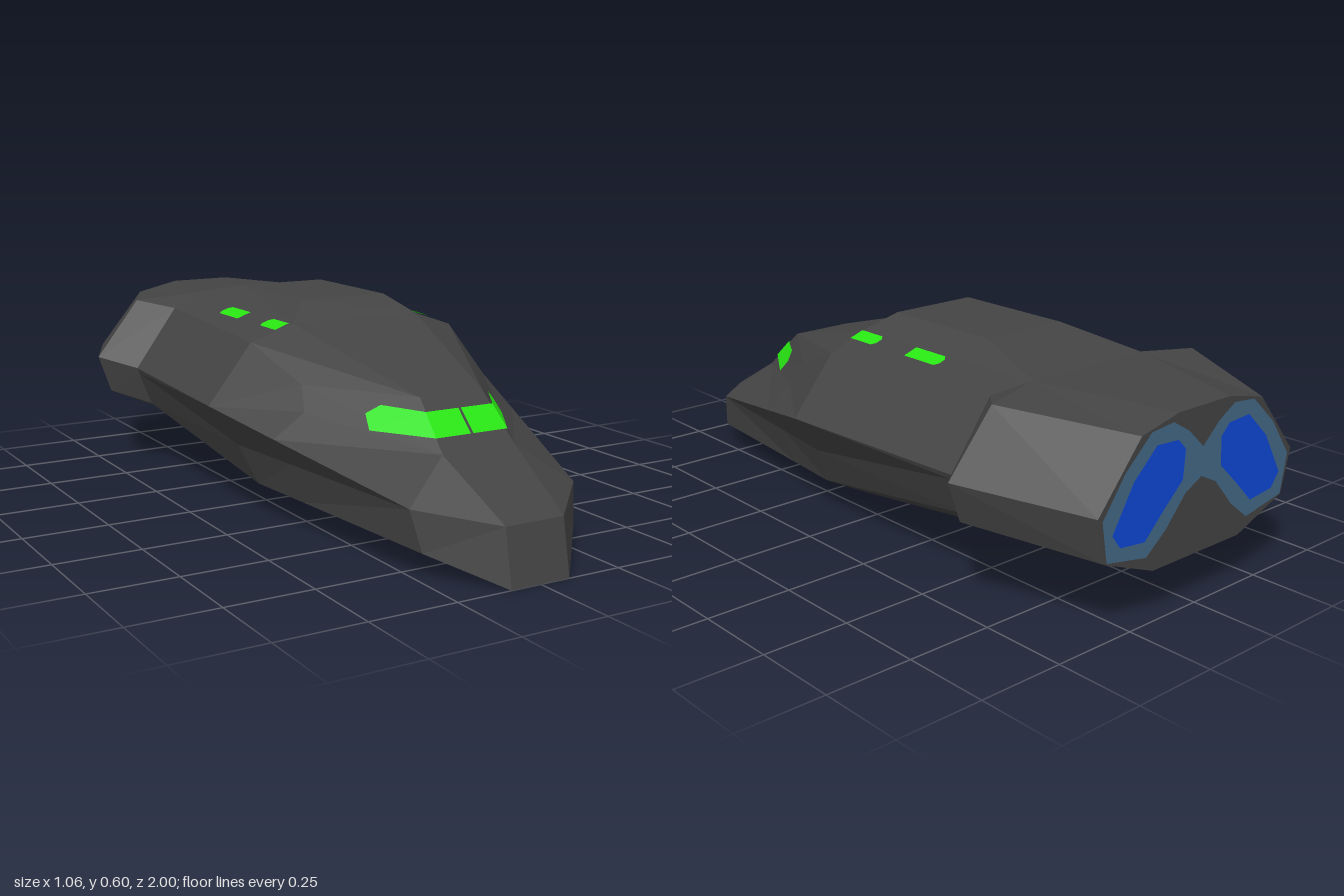
import * as THREE from 'three';

const material = (name, color, side = THREE.FrontSide) => {
  const m = new THREE.MeshStandardMaterial({ color, side, flatShading: true });
  m.name = name;
  return m;
};

// Triangle soup from a list of points, without zero-area triangles
function facets(triangles) {
  const pos = [];
  const t = new THREE.Triangle();
  for (const [a, b, c] of triangles) {
    t.set(new THREE.Vector3(...a), new THREE.Vector3(...b), new THREE.Vector3(...c));
    if (t.getArea() > 1e-7) pos.push(...a, ...b, ...c);
  }
  const g = new THREE.BufferGeometry();
  g.setAttribute('position', new THREE.Float32BufferAttribute(pos, 3));
  g.computeVertexNormals();
  return g;
}

// Skin closed rings in order and cap both ends
function loft(rings) {
  const tris = [];
  const n = rings[0].length;
  for (let i = 0; i < rings.length - 1; i++) {
    for (let j = 0; j < n; j++) {
      const k = (j + 1) % n;
      const [a, b, c, d] = [rings[i][j], rings[i][k], rings[i + 1][k], rings[i + 1][j]];
      // mirror the diagonal on the other half
      if (j < n / 2) tris.push([a, b, c], [a, c, d]);
      else tris.push([a, b, d], [b, c, d]);
    }
  }
  const first = rings[0], last = rings[rings.length - 1];
  for (let j = 1; j < n - 1; j++) {
    tris.push([first[0], first[j + 1], first[j]], [last[0], last[j], last[j + 1]]);
  }
  return facets(tris);
}

const flip = ([x, y, z]) => [-x, y, z];
const fullRing = half => [...half, ...half.map(flip).reverse()];

// Flat plate from a convex 3D outline
const plate = pts => facets(pts.slice(2).map((p, i) => [pts[0], pts[i + 1], p]));

export function createModel() {
  const group = new THREE.Group();
  const hullMat = material('dark hull', 0x444444);
  const lightMat = material('green light', 0x28e612, THREE.DoubleSide);
  const glowMat = material('engine blue', 0x0d48d8, THREE.DoubleSide);
  const rimMat = material('engine rim', 0x446a88, THREE.DoubleSide);
  const add = (name, geometry, mat) => {
    const mesh = new THREE.Mesh(geometry, mat);
    mesh.name = name;
    group.add(mesh);
    return mesh;
  };

  // Half sections from deck to belly: deck, shoulder, cheek, widest, under, lower, bottom
  const noseTop = [0.09, 0.155, 0.97], noseLow = [0.09, 0, 1];
  const A = [0.1, 0.41, 0.6], B = [0.115, 0.285, 0.73];
  const P = [0.29, 0.41, 0.3], Q = [0.31, 0.345, 0.35];
  const chin = [0.26, 0.18, 0.8], wide = [0.475, 0.33, 0.09];
  const podFront = [0.435, 0.33, -0.54], podWide = [0.53, 0.36, -0.635], tail = [0.38, 0.335, -0.997];
  const sections = [
    [noseTop, noseTop, noseTop, noseTop, noseTop, noseLow, noseLow],
    [B, B, B, chin, chin, [0.24, 0.07, 0.83], [0.11, 0.004, 0.83]],
    [A, P, Q, [0.4, 0.277, 0.34], [0.345, 0.2, 0.34], [0.31, 0.088, 0.34], [0.175, 0.015, 0.34]],
    [[0.21, 0.545, 0.1], [0.34, 0.5, 0.09], wide, wide, [0.39, 0.21, 0.1], [0.34, 0.095, 0.13], [0.2, 0.02, 0.14]],
    [[0.21, 0.55, -0.6], [0.3, 0.515, -0.54], podFront, podFront, [0.43, 0.315, -0.54], [0.39, 0.21, -0.54], [0.24, 0.128, -0.58]],
    [[0.21, 0.55, -0.61], [0.39, 0.535, -0.64], podWide, podWide, podWide, [0.49, 0.245, -0.635], [0.24, 0.135, -0.62]],
    [[0.1, 0.54, -0.997], [0.235, 0.51, -0.997], tail, tail, tail, [0.35, 0.21, -0.997], [0.17, 0.14, -0.997]],
  ];
  add('hull', loft(sections.map(fullRing)), hullMat);

  // Raised roof on the deck
  add('roof', loft([
    fullRing([[0.21, 0.545, 0.1], [0.21, 0.55, -0.61]]),
    fullRing([[0.14, 0.6, 0.03], [0.14, 0.6, -0.36]]),
  ]), hullMat);

  // Point on the windscreen side plane, lifted slightly off the hull
  const side = (s, t) => A.map((a, i) =>
    a + t * (B[i] - a) + s * (P[i] - a) + [0.003, 0.0025, 0.0025][i]);

  for (const [label, mirror] of [['left', p => p], ['right', flip]]) {
    // Windscreen: front pane and side pane
    const front = [side(0, 0.27), side(0, 0.73)];
    add(label + 'FrontPane', plate([
      [0.004, front[0][1], front[0][2]], [0.004, front[1][1], front[1][2]], front[1], front[0],
    ].map(mirror)), lightMat);
    add(label + 'SidePane', plate([
      side(0, 0.27), side(0, 0.73), side(0.54, 0.73), side(0.52, 0.42), side(0.36, 0.23),
    ].map(mirror)), lightMat);

    // Deck lights
    const deckY = x => 0.55 - (x - 0.21) * 0.346;
    for (const [z0, z1] of [[0.095, -0.01], [-0.15, -0.285]]) {
      const c = 0.012;
      const outline = [
        [0.22, z0], [0.265, z0], [0.265, z1 + c], [0.265 - c, z1], [0.22 + c, z1], [0.22, z1 + c],
      ];
      // the long pane sits forward, the rear pane has its corners cut
      add(label + 'DeckLight', plate(outline.map(([x, z]) => mirror([x, deckY(x), z]))), lightMat);
    }
  }

  // Engine outlet: pale rim joined in the middle, with two blue cores
  const flat = pts => new THREE.ShapeGeometry(new THREE.Shape(pts.map(p => new THREE.Vector2(...p)))).rotateY(Math.PI);
  const rim = [[0.06, 0.485], [0.12, 0.52], [0.2, 0.512], [0.29, 0.43], [0.365, 0.325],
    [0.345, 0.212], [0.2, 0.185], [0.13, 0.24], [0.06, 0.32]];
  const rimLoop = [[0, 0.43], ...rim, [0, 0.35], ...rim.map(([x, y]) => [-x, y]).reverse()];
  add('engineRim', flat(rimLoop), rimMat).position.z = -0.9985;
  const core = [[0.07, 0.44], [0.1, 0.47], [0.18, 0.475], [0.26, 0.4], [0.33, 0.28],
    [0.3, 0.24], [0.21, 0.23], [0.15, 0.29], [0.075, 0.36]];
  for (const s of [1, -1]) {
    add(s > 0 ? 'rightEngineCore' : 'leftEngineCore', flat(core.map(([x, y]) => [s * x, y])), glowMat).position.z = -1;
  }
  return group;
}
